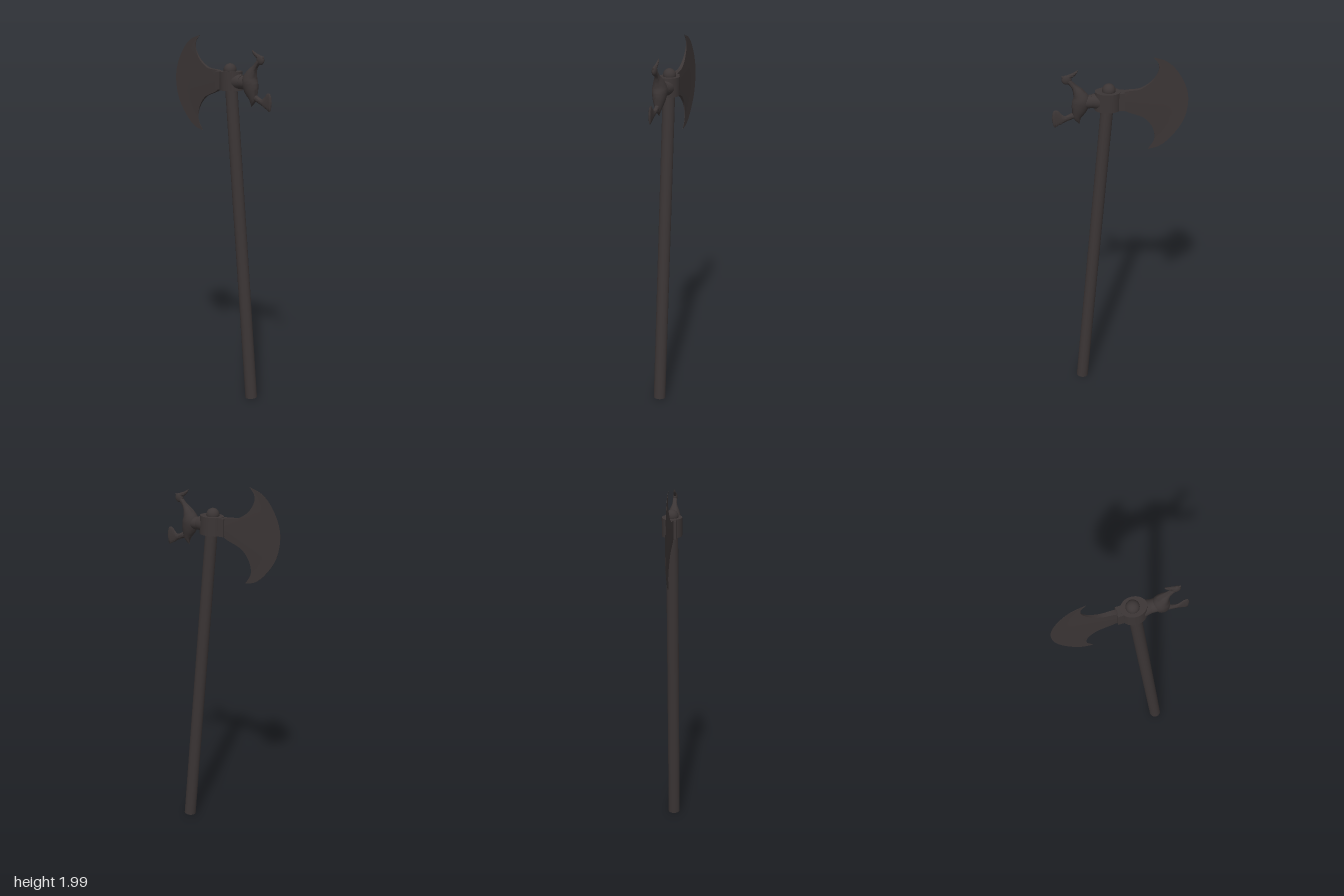
import * as THREE from 'three';
import { toCreasedNormals } from 'three/addons/utils/BufferGeometryUtils.js';

const iron = new THREE.MeshStandardMaterial({ color: 0x3b3535 });
iron.name = 'darkIron';

// Skin a list of closed rings of [x, y, z] points
function skin(rings, crease = 0.7) {
  const n = rings[0].length, index = [];
  for (let i = 0; i < rings.length - 1; i++) {
    for (let j = 0; j < n; j++) {
      const a = i * n + j, b = a + n, c = i * n + (j + 1) % n, d = c + n;
      index.push(a, b, c, c, b, d);
    }
  }
  const g = new THREE.BufferGeometry();
  g.setAttribute('position', new THREE.Float32BufferAttribute(rings.flat(2), 3));
  g.setIndex(index);
  return toCreasedNormals(g, crease);
}

// Smooth solid along stations [x, y, halfWidth in the x-y plane, halfDepth in z]
function limb(stations, steps = 32, sides = 20) {
  const path = new THREE.CatmullRomCurve3(stations.map(s => new THREE.Vector3(s[0], s[1], 0)));
  const size = new THREE.CatmullRomCurve3(stations.map(s => new THREE.Vector3(s[2], s[3], 0)), false, 'catmullrom', 0.4);
  const rings = [];
  for (let i = 0; i <= steps; i++) {
    const p = path.getPoint(i / steps), t = path.getTangent(i / steps), r = size.getPoint(i / steps);
    const w = Math.max(r.x, 0.0005), d = Math.max(r.y, 0.0005), ring = [];
    for (let j = 0; j < sides; j++) {
      const q = j / sides * Math.PI * 2, o = w * Math.cos(q);
      ring.push([p.x + t.y * o, p.y - t.x * o, d * Math.sin(q)]);
    }
    rings.push(ring);
  }
  return skin(rings, 1.2);
}

// Crescent blade, thinning away from its root
function bladeGeometry() {
  const curve = pts => new THREE.CatmullRomCurve3(pts.map(p => new THREE.Vector3(p[0], p[1], 0)));
  const outer = curve([[-0.172, 1.997], [-0.235, 1.975], [-0.285, 1.934], [-0.342, 1.84], [-0.36, 1.754],
    [-0.337, 1.638], [-0.26, 1.532], [-0.205, 1.492], [-0.15, 1.479]]);
  const inner = curve([[-0.172, 1.997], [-0.2, 1.96], [-0.202, 1.925], [-0.172, 1.872], [-0.108, 1.828], [-0.015, 1.812],
    [-0.013, 1.767], [-0.015, 1.722], [-0.13, 1.662], [-0.175, 1.6], [-0.183, 1.535], [-0.15, 1.479]]);
  const rows = 64, cols = 12, rings = [];
  for (let i = 0; i <= rows; i++) {
    const o = outer.getPointAt(i / rows), n = inner.getPointAt(i / rows), front = [];
    for (let j = 0; j <= cols; j++) {
      const p = o.clone().lerp(n, j / cols);
      const reach = Math.hypot(p.x, p.y - 1.767);
      front.push([p.x, p.y, Math.max(0.0006, 0.017 * (1 - reach / 0.3))]);
    }
    const back = front.map(([x, y, z]) => [x, y, -z]).reverse();
    rings.push([...front, ...back]);
  }
  return skin(rings, 0.6);
}

export function createModel() {
  const group = new THREE.Group();
  const tilt = 0.092;
  const add = (name, geometry, x = 0, y = 0, z = 0, rz = 0) => {
    const m = new THREE.Mesh(geometry, iron);
    m.name = name;
    m.position.set(x, y, z);
    m.rotation.z = rz;
    group.add(m);
    return m;
  };

  // Leaning shaft and its domed end
  add('handle', new THREE.CylinderGeometry(0.033, 0.033, 1.825, 32), 0.1415, 0.9155, 0, tilt);
  add('knob', new THREE.SphereGeometry(0.035, 24, 16), 0.057, 1.827);

  // Oval collar round the shaft, with a socket on either side
  add('collar', new THREE.CylinderGeometry(0.055, 0.055, 0.1, 40), 0.064, 1.77, 0, 0.03).scale.x = 1.22;
  add('bladeSocket', new THREE.BoxGeometry(0.05, 0.096, 0.056), 0, 1.767);
  add('ornamentSocket', new THREE.CylinderGeometry(0.036, 0.044, 0.04, 24), 0.127, 1.77, 0, -Math.PI / 2);
  add('ornamentStem', new THREE.CylinderGeometry(0.035, 0.035, 0.06, 24), 0.16, 1.768, 0, -Math.PI / 2);

  add('blade', bladeGeometry());

  // Bird-like ornament behind the collar
  add('birdBody', limb([
    [0.212, 1.643, 0, 0], [0.222, 1.685, 0.023, 0.018], [0.21, 1.735, 0.042, 0.034],
    [0.201, 1.778, 0.046, 0.04], [0.214, 1.82, 0.03, 0.03], [0.237, 1.855, 0.015, 0.015],
    [0.256, 1.877, 0.013, 0.012], [0.272, 1.895, 0.012, 0.011]]));
  add('birdHead', new THREE.SphereGeometry(0.025, 20, 14), 0.274, 1.893).scale.z = 0.5;
  add('birdCrest', limb([
    [0.285, 1.898, 0.012, 0.009], [0.262, 1.908, 0.013, 0.009], [0.24, 1.919, 0.01, 0.007],
    [0.223, 1.933, 0.006, 0.005], [0.213, 1.945, 0, 0]], 20, 14));
  add('birdBeak', limb([[0.275, 1.9, 0.012, 0.009], [0.29, 1.905, 0.009, 0.007], [0.299, 1.916, 0, 0]], 12, 12));
  add('birdTail', limb([
    [0.215, 1.705, 0.02, 0.014], [0.25, 1.69, 0.016, 0.012], [0.285, 1.676, 0.016, 0.008],
    [0.308, 1.675, 0.03, 0.006], [0.332, 1.678, 0.048, 0.006], [0.347, 1.679, 0.042, 0.006],
    [0.356, 1.679, 0, 0]]));

  return group;
}
